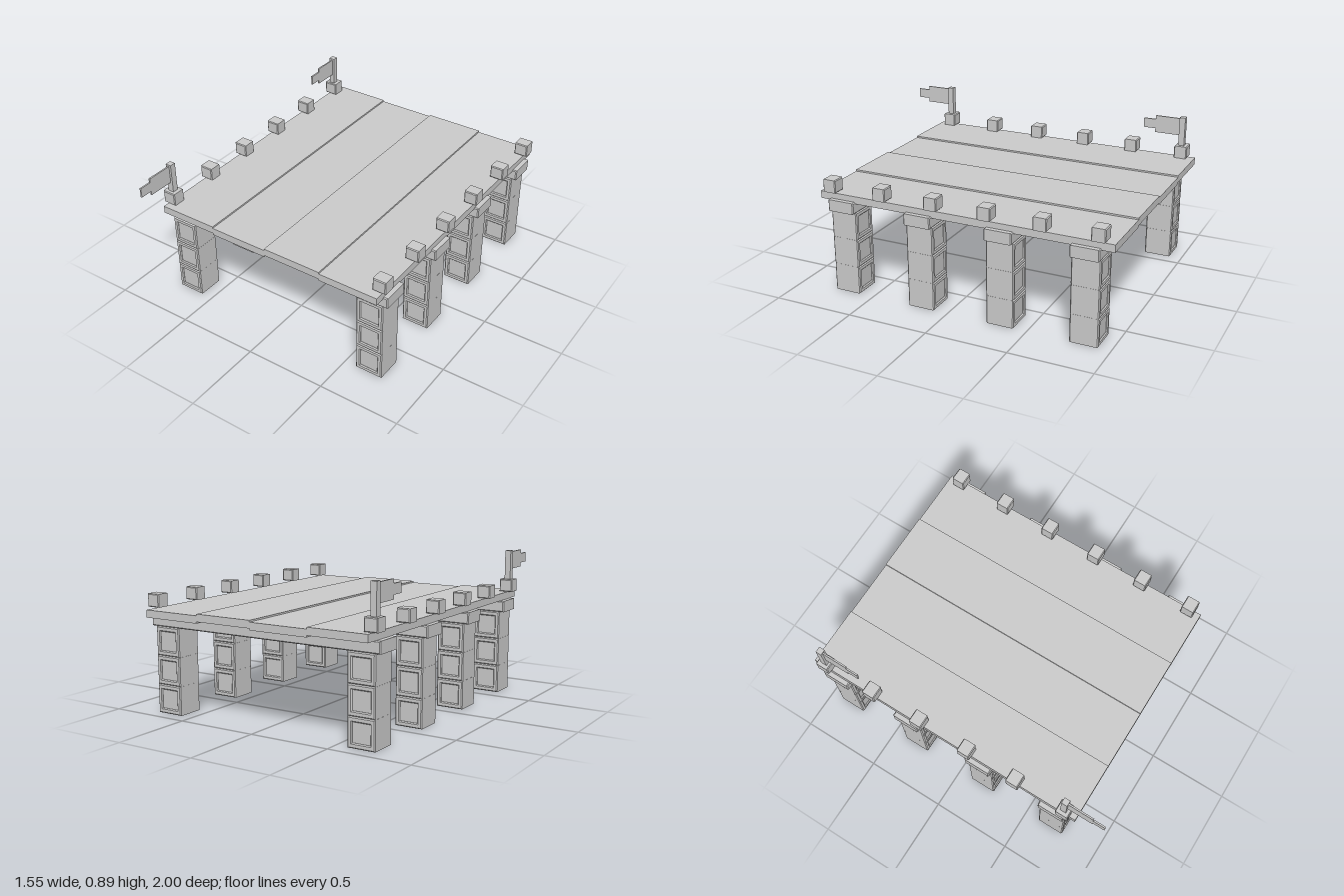
import * as THREE from 'three';

export function createModel() {
  const model = new THREE.Group();
  model.name = 'bridge';
  const stone = new THREE.MeshStandardMaterial({ color: 0xcccccc });
  stone.name = 'light grey';
  const thinStone = new THREE.MeshStandardMaterial({ color: 0xcccccc, side: THREE.DoubleSide });
  thinStone.name = 'light grey open';

  function add(parent, name, geometry, x, y, z, material = stone) {
    const mesh = new THREE.Mesh(geometry, material);
    mesh.name = name;
    mesh.position.set(x, y, z);
    parent.add(mesh);
    return mesh;
  }

  function rect(target, w, h) {
    target.moveTo(-w / 2, -h / 2);
    target.lineTo(w / 2, -h / 2);
    target.lineTo(w / 2, h / 2);
    target.lineTo(-w / 2, h / 2);
    target.closePath();
    return target;
  }

  // Box with chamfered front and back rims, optionally with a square opening
  function chamferBox(w, h, d, bevel, opening = 0) {
    const shape = rect(new THREE.Shape(), w - 2 * bevel, h - 2 * bevel);
    if (opening) shape.holes.push(rect(new THREE.Path(), opening, opening));
    const geometry = new THREE.ExtrudeGeometry(shape, {
      depth: d - 2 * bevel, bevelEnabled: true, bevelSegments: 1,
      bevelSize: bevel, bevelThickness: bevel,
    });
    return geometry.translate(0, 0, -d / 2 + bevel);
  }

  // Pillars of three stacked blocks with sunken front and back panels, under cross beams
  const blockShell = chamferBox(0.17, 0.173, 0.17, 0.006, 0.125);
  const blockCore = new THREE.BoxGeometry(0.135, 0.135, 0.154);
  const beam = chamferBox(1.55, 0.07, 0.17, 0.006);
  for (const z of [0.675, 0.17, -0.335, -0.84]) {
    for (const side of [-1, 1]) {
      const pillar = new THREE.Group();
      pillar.name = side > 0 ? 'leftPillar' : 'rightPillar';
      pillar.position.set(side * 0.66, 0, z);
      for (let i = 0; i < 3; i++) {
        const y = 0.0865 + i * 0.1735;
        add(pillar, 'pillarBlock', blockShell, 0, y, 0);
        add(pillar, 'blockPanel', blockCore, 0, y, 0);
      }
      model.add(pillar);
    }
    add(model, 'crossBeam', beam, 0, 0.555, z);
  }

  // Deck planks, alternately higher and lower, open underneath
  const plank = new THREE.BoxGeometry(0.3735, 0.045, 1.825);
  const corners = Array.from(plank.index.array);
  corners.splice(18, 6); // drop the bottom face
  plank.setIndex(corners);
  plank.clearGroups();
  for (let i = 0; i < 4; i++) {
    const y = i % 2 ? 0.6025 : 0.6125;
    add(model, 'deckPlank', plank, (i - 1.5) * 0.3735, y, -0.0875, thinStone);
  }

  // Edge stones along both sides
  const edgeStone = chamferBox(0.083, 0.078, 0.082, 0.005);
  for (let i = 0; i < 6; i++) {
    for (const side of [-1, 1]) {
      add(model, 'edgeStone', edgeStone, side * 0.735, 0.674, 0.745 - i * 0.332);
    }
  }

  // Stepped flags on the two end stones of the right side
  const outline = new THREE.Shape([
    [0.01, 0.775], [0.178, 0.775], [0.178, 0.8], [0.255, 0.8],
    [0.255, 0.86], [0.178, 0.86], [0.178, 0.885], [0.01, 0.885],
  ].map(([x, y]) => new THREE.Vector2(x, y)));
  const cloth = new THREE.ExtrudeGeometry(outline, { depth: 0.01, bevelEnabled: false });
  cloth.translate(0, 0, -0.005).rotateY(-Math.PI / 2);
  for (const z of [0.745, -0.911]) {
    const flag = new THREE.Group();
    flag.name = 'flag';
    flag.position.set(-0.736, 0, z);
    add(flag, 'flagPole', new THREE.BoxGeometry(0.037, 0.19, 0.037), 0, 0.8, 0);
    add(flag, 'flagCloth', cloth, 0, 0, 0);
    model.add(flag);
  }

  return model;
}
